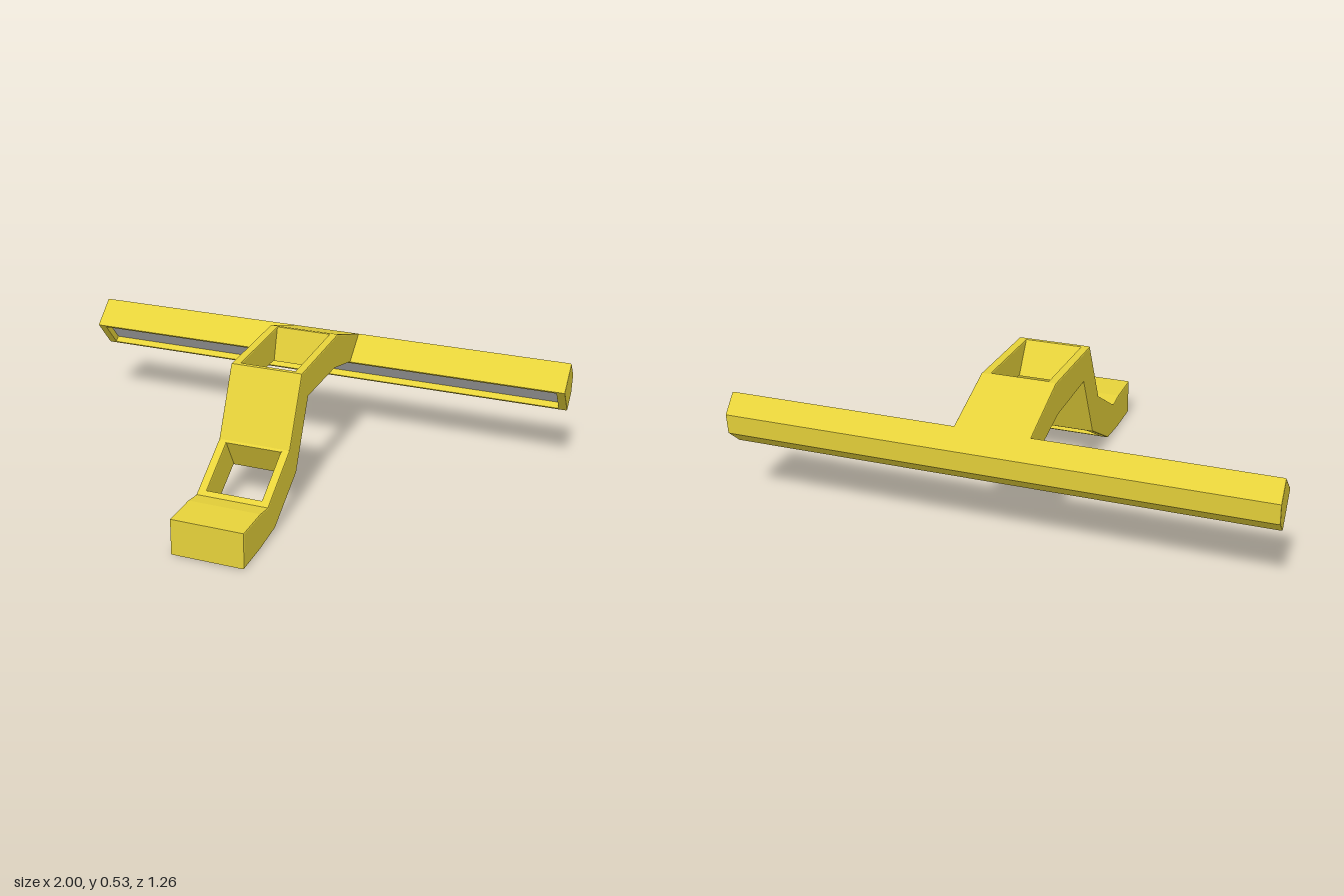
import * as THREE from 'three';

const yellow = new THREE.MeshStandardMaterial({ color: 0xe6d23a });
const grey = new THREE.MeshStandardMaterial({ color: 0xcccccc });
const BEVEL = 0.005;

// Extrudes a side outline of [z, y] points across x, from x0 to x1
function slab(name, outline, x0, x1, bevel = 0, material = yellow) {
  const shape = new THREE.Shape(outline.map(([z, y]) => new THREE.Vector2(z, y)));
  const geometry = new THREE.ExtrudeGeometry(shape, {
    depth: x1 - x0 - 2 * bevel,
    bevelEnabled: bevel > 0,
    bevelThickness: bevel,
    bevelSize: bevel,
    bevelOffset: -bevel,
    bevelSegments: 2,
  });
  geometry.translate(0, 0, bevel);
  geometry.rotateY(-Math.PI / 2);
  geometry.translate(x1, 0, 0);
  const mesh = new THREE.Mesh(geometry, material);
  mesh.name = name;
  return mesh;
}

// Bent arm: two side walls joined by solid blocks, leaving two windows
function createArm() {
  const arm = new THREE.Group();
  arm.name = 'arm';
  const half = 0.14, inner = 0.107;
  const side = [
    [0.63, 0.14], [0.48, 0.14], [0.41, 0.13], [0.2, 0.26], [0.08, 0.515], [-0.31, 0.53], [-0.57, 0.44],
    [-0.47, 0.355], [-0.28, 0.4], [0.01, 0.4], [0.13, 0.14], [0.34, 0.015], [0.48, 0.002], [0.63, 0],
  ];
  arm.add(slab('armLeftWall', side, inner, half, BEVEL));
  arm.add(slab('armRightWall', side, -half, -inner, BEVEL));

  const blocks = {
    gripBlock: [
      [0.63, 0.14], [0.48, 0.14], [0.41, 0.13], [0.39, 0.142],
      [0.32, 0.027], [0.34, 0.015], [0.48, 0.002], [0.63, 0],
    ],
    middleBlock: [
      [0.21, 0.254], [0.2, 0.26], [0.08, 0.515], [0.065, 0.5156],
      [-0.015, 0.4], [0.01, 0.4], [0.13, 0.14], [0.14, 0.134],
    ],
    neckBlock: [
      [-0.3, 0.5296], [-0.31, 0.53], [-0.57, 0.44], [-0.47, 0.355], [-0.28, 0.4], [-0.265, 0.4],
    ],
  };
  for (const [name, outline] of Object.entries(blocks)) {
    arm.add(slab(name, outline, -inner - BEVEL, inner + BEVEL));
  }
  return arm;
}

// Long crossbar with a shallow channel in its lower front face
function createHead() {
  const head = new THREE.Group();
  head.name = 'head';
  const a = [-0.47, 0.355], b = [-0.565, 0.245];
  const back = [[-0.625, 0.3], [-0.63, 0.375], [-0.57, 0.44]];

  // Point on the lower front face: t along it, d deep into it
  const facePoint = (t, d) => [
    a[0] + t * (b[0] - a[0]) - 0.758 * d,
    a[1] + t * (b[1] - a[1]) + 0.655 * d,
  ];
  const t0 = 0.07, t1 = 0.94, depth = 0.03, inner = 0.965;
  const channel = [facePoint(t0, 0), facePoint(t0, depth), facePoint(t1, depth), facePoint(t1, 0)];
  head.add(slab('headBar', [a, ...channel, b, ...back], -inner - BEVEL, inner + BEVEL));

  // Closed ends
  head.add(slab('headLeftEnd', [a, b, ...back], inner, 1, BEVEL));
  head.add(slab('headRightEnd', [a, b, ...back], -1, -inner, BEVEL));

  // Grey strip on the channel floor
  const strip = [
    facePoint(t0, depth - 0.004), facePoint(t0, depth + 0.004),
    facePoint(t1, depth + 0.004), facePoint(t1, depth - 0.004),
  ];
  head.add(slab('blade', strip, -inner, inner, 0, grey));
  return head;
}

export function createModel() {
  const model = new THREE.Group();
  model.name = 'razor';
  model.add(createArm(), createHead());
  return model;
}
